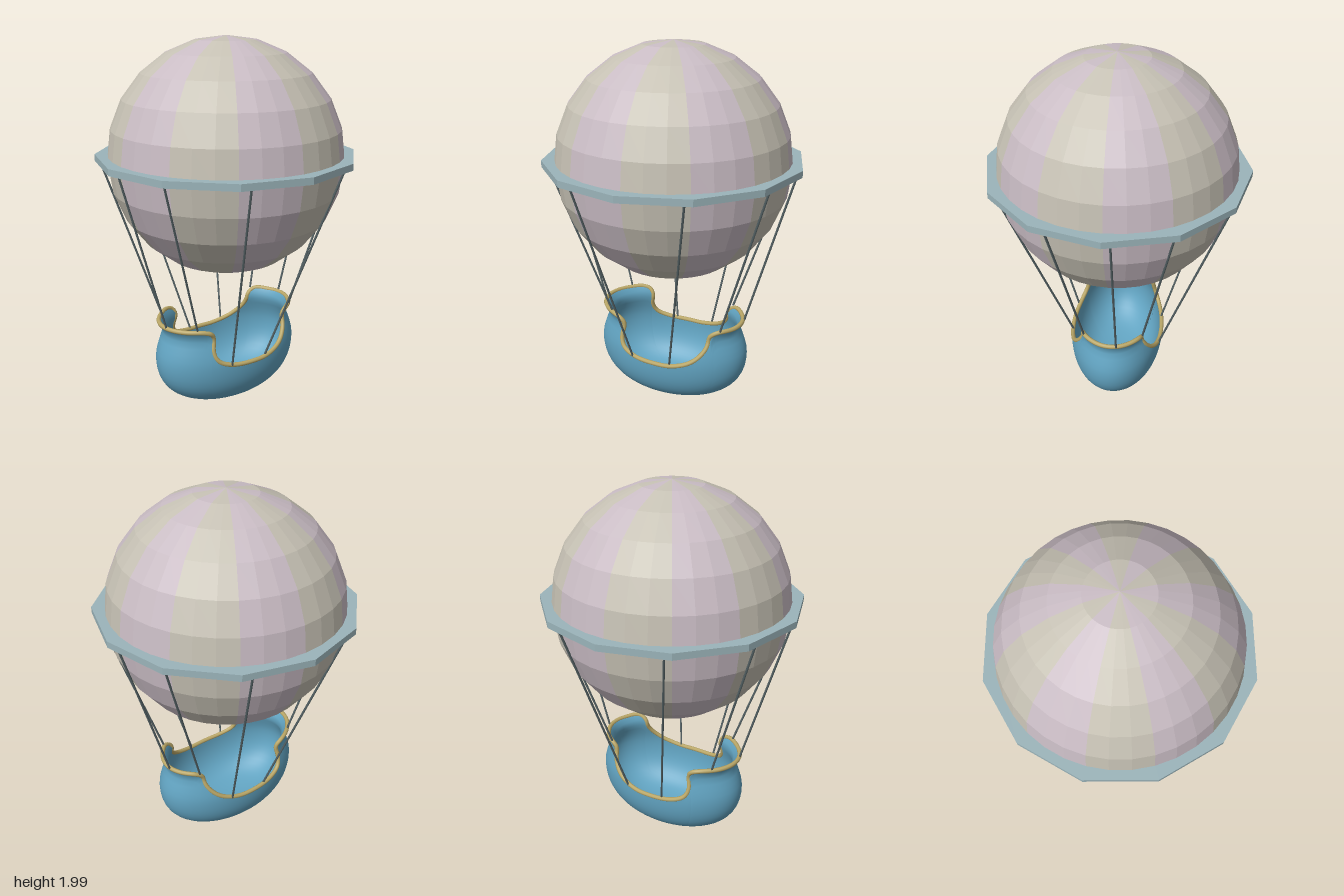
import * as THREE from 'three';

const mat = (color, opts = {}) => new THREE.MeshStandardMaterial({ color, ...opts });
const BLUE = mat(0x62a4c2);
const TRIM = mat(0xbba868);
const RING = mat(0x9bb4ba, { flatShading: true });
const ROPE = mat(0x566467);
const GORES = [mat(0xc9bcc4, { flatShading: true }), mat(0xc6c1b4, { flatShading: true })];

function add(parent, name, geometry, material) {
  const mesh = new THREE.Mesh(geometry, material);
  mesh.name = name;
  parent.add(mesh);
  return mesh;
}

// Basket cross-section: [half length, height]; half width is a fixed share of it
const SECTION = [[0, 0.008], [0.14, 0.016], [0.26, 0.04], [0.345, 0.085], [0.4, 0.145], [0.43, 0.22],
  [0.435, 0.31], [0.412, 0.39], [0.393, 0.44], [0.397, 0.47], [0.432, 0.515]];
const WIDTH = 0.62;
const WALL = 0.022;
const outer = new THREE.SplineCurve(SECTION.map(([r, y]) => new THREE.Vector2(r, y)));
const inner = new THREE.SplineCurve(SECTION.map(([r, y]) =>
  new THREE.Vector2(Math.max(0, r - WALL), y + WALL * (1 - y / 0.515))));

// Rim height around one side: [degrees from the front, height]
const RIM = [[0, 0.505], [30, 0.505], [49, 0.502], [54, 0.485], [56, 0.38], [61, 0.33], [72, 0.3],
  [90, 0.29], [102, 0.292], [116, 0.32], [128, 0.375], [135, 0.43], [137.5, 0.475], [142, 0.496],
  [160, 0.497], [180, 0.497]];

function rimLoop() {
  const curve = new THREE.CatmullRomCurve3(RIM.map(([a, y]) => new THREE.Vector3(a / 150, y, 0)));
  const half = curve.getSpacedPoints(56).map((p) => ({ angle: THREE.MathUtils.degToRad(p.x * 150), y: p.y }));
  const mirrored = half.slice(1, -1).reverse().map((p) => ({ angle: 2 * Math.PI - p.angle, y: p.y }));
  return [...half, ...mirrored];
}

// Position along the cross-section at which it reaches a height
function paramAt(curve, y) {
  let lo = 0, hi = 1;
  for (let i = 0; i < 24; i++) {
    const mid = (lo + hi) / 2;
    if (curve.getPointAt(mid).y < y) lo = mid; else hi = mid;
  }
  return lo;
}

function shellPoint(curve, angle, u) {
  const p = curve.getPointAt(u);
  return new THREE.Vector3(p.x * WIDTH * Math.sin(angle), p.y, p.x * Math.cos(angle));
}

// One basket skin: columns around, rows from keel to rim
function basketSkin(curve, rim, flip) {
  const rows = 22, pos = [], index = [];
  for (const { angle, y } of rim) {
    const top = paramAt(curve, y);
    for (let j = 0; j <= rows; j++) pos.push(...shellPoint(curve, angle, top * j / rows).toArray());
  }
  for (let i = 0; i < rim.length; i++) {
    for (let j = 0; j < rows; j++) {
      const a = i * (rows + 1) + j;
      const b = ((i + 1) % rim.length) * (rows + 1) + j;
      if (flip) index.push(a, b + 1, b, a, a + 1, b + 1);
      else index.push(a, b, b + 1, a, b + 1, a + 1);
    }
  }
  const g = new THREE.BufferGeometry();
  g.setAttribute('position', new THREE.Float32BufferAttribute(pos, 3));
  g.setIndex(index);
  g.computeVertexNormals();
  return g;
}

function makeBasket() {
  const basket = new THREE.Group();
  basket.name = 'basket';
  const rim = rimLoop();
  add(basket, 'basketOutside', basketSkin(outer, rim, false), BLUE);
  add(basket, 'basketInside', basketSkin(inner, rim, true), BLUE);
  // Edging that closes the gap between the two skins
  const path = rim.map(({ angle, y }) =>
    shellPoint(outer, angle, paramAt(outer, y)).lerp(shellPoint(inner, angle, paramAt(inner, y)), 0.5));
  add(basket, 'basketTrim', new THREE.TubeGeometry(new THREE.CatmullRomCurve3(path, true), 180, 0.0125, 8, true), TRIM);
  return basket;
}

function makeBalloon() {
  const balloon = new THREE.Group();
  balloon.name = 'balloon';
  const step = Math.PI / 6;
  for (let k = 0; k < 12; k++) {
    const gore = new THREE.SphereGeometry(0.62, 1, 12, Math.PI / 2 + k * step, step);
    add(balloon, 'balloonPanel', gore, GORES[k % 2]).position.y = 1.38;
  }
  // Twelve-sided hoop around the widest part
  const hoop = [[0.6, 1.37], [0.685, 1.37], [0.685, 1.405], [0.6, 1.405], [0.6, 1.37]];
  add(balloon, 'hoop', new THREE.LatheGeometry(hoop.map((p) => new THREE.Vector2(...p)), 12), RING);
  return balloon;
}

function makeRopes() {
  const ropes = new THREE.Group();
  ropes.name = 'ropes';
  // [angle on the hoop, foot x, y, z]; each repeats half a turn around
  const list = [[3.3, 0.035, 0.5, 0.41], [29.3, 0.17, 0.5, 0.3], [64.6, 0.255, 0.3, 0.14],
    [117, 0.255, 0.295, -0.08], [155.6, 0.15, 0.495, -0.33]];
  for (const [deg, x, y, z] of list) {
    const a = THREE.MathUtils.degToRad(deg);
    const top = new THREE.Vector3(0.655 * Math.sin(a), 1.38, 0.655 * Math.cos(a));
    const foot = new THREE.Vector3(x, y, z);
    const dir = top.clone().sub(foot);
    for (const turn of [0, Math.PI]) {
      const holder = new THREE.Group();
      holder.rotation.y = turn;
      const rope = add(holder, 'rope', new THREE.CylinderGeometry(0.006, 0.006, dir.length(), 6), ROPE);
      rope.position.copy(foot).lerp(top, 0.5);
      rope.quaternion.setFromUnitVectors(new THREE.Vector3(0, 1, 0), dir.clone().normalize());
      ropes.add(holder);
    }
  }
  return ropes;
}

export function createModel() {
  const model = new THREE.Group();
  model.name = 'hotAirBalloon';
  model.add(makeBalloon(), makeRopes(), makeBasket());
  return model;
}
